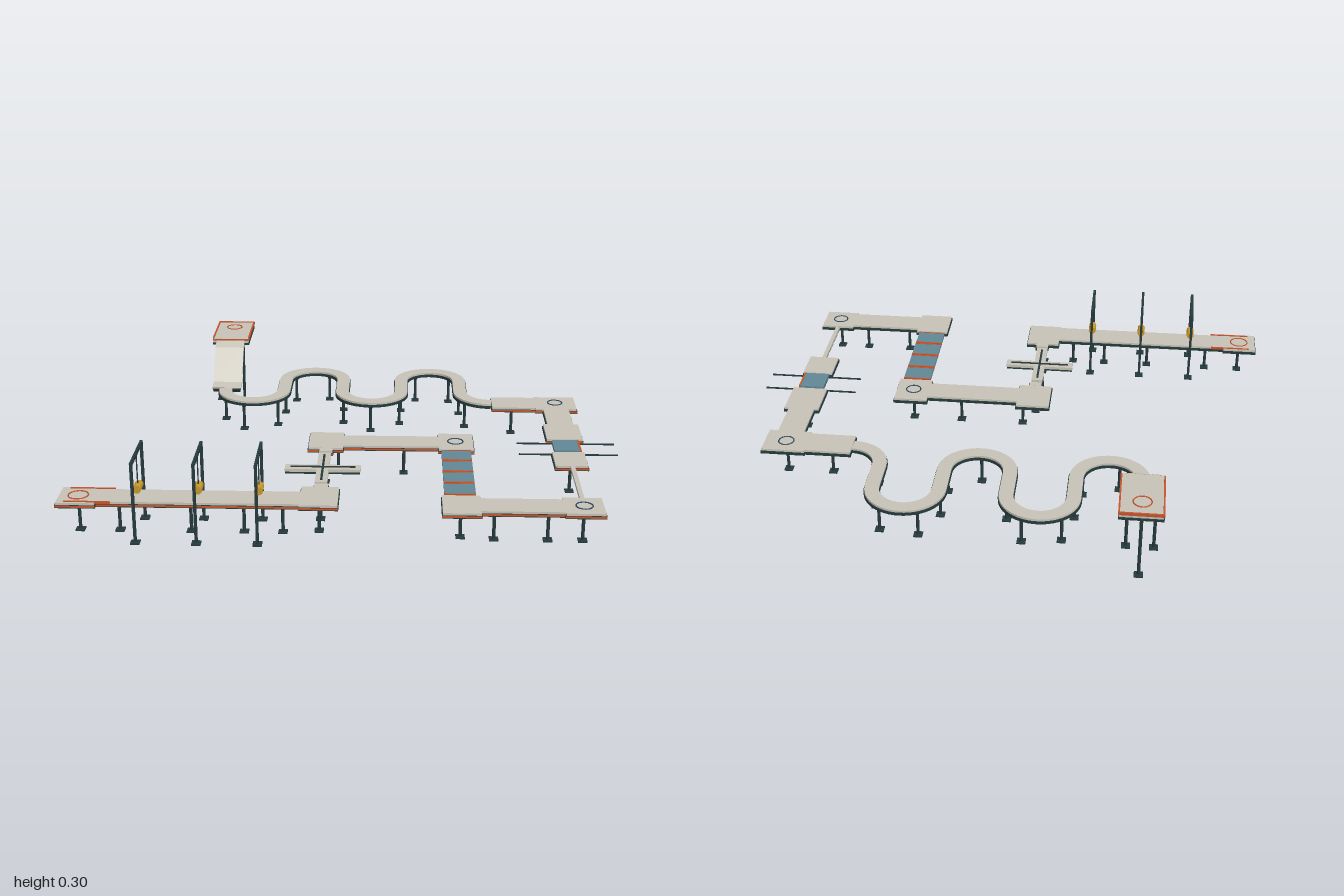
import * as THREE from 'three';

const mat = (name, color) => {
  const m = new THREE.MeshStandardMaterial({ color });
  m.name = name;
  return m;
};

export function createModel() {
  const model = new THREE.Group();
  model.name = 'obstacleCourse';
  const stone = mat('stone', 0xc6c2b6);
  const dark = mat('darkSteel', 0x263a3c);
  const orange = mat('orangePaint', 0xc4552c);
  const blue = mat('blueTile', 0x628796);
  const yellow = mat('yellow', 0xc8982a);
  const navy = mat('navyRing', 0x2f4a63);

  const add = (name, geo, material, x = 0, y = 0, z = 0) => {
    const m = new THREE.Mesh(geo, material);
    m.name = name;
    m.position.set(x, y, z);
    model.add(m);
    return m;
  };
  // Box given by its limits
  const block = (name, material, x0, x1, y0, y1, z0, z1) =>
    add(name, new THREE.BoxGeometry(x1 - x0, y1 - y0, z1 - z0), material,
      (x0 + x1) / 2, (y0 + y1) / 2, (z0 + z1) / 2);

  // Deck: pale slab on a dark frame, with a painted front edge
  const deck = (name, x0, x1, z0, z1) => {
    block(name, stone, x0 + 0.003, x1 - 0.003, 0.121, 0.131, z0 + 0.003, z1 - 0.003);
    block(name + 'Frame', dark, x0, x1, 0.112, 0.123, z0, z1);
    block(name + 'Stripe', orange, x0, x1, 0.115, 0.122, z1 - 0.001, z1 + 0.001);
  };
  // Support leg with foot and flared head
  const poleGeo = new THREE.CylinderGeometry(0.006, 0.006, 1, 8);
  const headGeo = new THREE.CylinderGeometry(0.017, 0.007, 0.016, 8);
  const footGeo = new THREE.BoxGeometry(0.032, 0.005, 0.032);
  const leg = (x, z, h = 0.113) => {
    add('legPole', poleGeo, dark, x, h / 2, z).scale.y = h;
    add('legHead', headGeo, dark, x, h - 0.008, z);
    add('legFoot', footGeo, dark, x, 0.0025, z);
  };
  const ring = (name, material, x, y, z, r) => {
    const g = new THREE.TorusGeometry(r, 0.0025, 6, 32).rotateX(Math.PI / 2);
    add(name, g, material, x, y, z);
  };

  // Straight decks and corner platforms
  deck('startBeam', -1, -0.1, 0.657, 0.77);
  deck('startPlatform', -1, -0.86, 0.645, 0.785);
  deck('turnPlatform', -0.163, -0.025, 0.613, 0.778);
  deck('turnStub', -0.12, -0.065, 0.585, 0.62);
  deck('middleStub', -0.12, -0.065, 0.25, 0.285);
  deck('middlePlatform', -0.163, -0.027, 0.09, 0.255);
  deck('middleBeam', -0.1, 0.36, 0.12, 0.23);
  deck('middleCorner', 0.328, 0.465, 0.09, 0.255);
  deck('frontPlatform', 0.328, 0.465, 0.67, 0.825);
  deck('frontBeam', 0.4, 0.77, 0.692, 0.805);
  deck('frontCorner', 0.745, 0.885, 0.677, 0.815);
  deck('railLanding', 0.75, 0.875, 0.26, 0.4);
  deck('gapPlatform', 0.743, 0.885, -0.025, 0.14);
  deck('sideBeam', 0.76, 0.867, -0.2, 0);
  deck('backCorner', 0.73, 0.9, -0.333, -0.19);
  deck('backBeam', 0.555, 0.75, -0.325, -0.2);

  // Painted start edges
  for (const z of [0.656, 0.771]) block('startEdge', orange, -0.97, -0.81, 0.125, 0.134, z - 0.003, z + 0.003);
  ring('startRing', orange, -0.93, 0.132, 0.715, 0.035);
  ring('checkpointRing', navy, 0.395, 0.132, 0.173, 0.029);
  ring('checkpointRing', navy, 0.815, 0.132, 0.748, 0.029);
  ring('checkpointRing', navy, 0.815, 0.132, -0.265, 0.029);

  // Hanging hammers on portal frames
  for (const x of [-0.72, -0.51, -0.3]) {
    for (const z of [0.615, 0.817]) {
      block('framePost', dark, x - 0.005, x + 0.005, 0, 0.295, z - 0.005, z + 0.005);
      block('frameFoot', dark, x - 0.016, x + 0.016, 0, 0.006, z - 0.016, z + 0.016);
    }
    block('frameBar', dark, x - 0.005, x + 0.005, 0.287, 0.297, 0.61, 0.822);
    block('hammerRod', dark, x - 0.002, x + 0.002, 0.17, 0.29, 0.714, 0.718);
    add('hammer', new THREE.CylinderGeometry(0.015, 0.015, 0.052, 16).rotateX(Math.PI / 2),
      yellow, x, 0.166, 0.716);
  }

  // Turning cross
  const cx = -0.095, cz = 0.437;
  for (const [a, b] of [[0.138, 0.0225], [0.0225, 0.138]]) {
    block('crossArm', stone, cx - a, cx + a, 0.12, 0.131, cz - b, cz + b);
    block('crossArmBase', dark, cx - a + 0.002, cx + a - 0.002, 0.112, 0.121, cz - b + 0.002, cz + b - 0.002);
    const p = a > b ? 0.118 : 0.004, q = a > b ? 0.004 : 0.118;
    block('crossLine', dark, cx - p, cx + p, 0.13, 0.134, cz - q, cz + q);
  }
  add('crossPillar', new THREE.CylinderGeometry(0.016, 0.02, 0.113, 12), dark, cx, 0.0565, cz);
  add('crossFoot', new THREE.CylinderGeometry(0.032, 0.032, 0.006, 12), dark, cx, 0.003, cz);

  // Blue tilting tiles
  for (let i = 0; i < 4; i++) {
    const z0 = 0.26 + i * 0.103, z1 = z0 + 0.096;
    block('tile', blue, 0.34, 0.45, 0.12, 0.131, z0 + 0.004, z1 - 0.004);
    block('tileBase', dark, 0.342, 0.448, 0.113, 0.12, z0 + 0.004, z1 - 0.004);
    for (const z of [z0, z1 - 0.006]) block('tileEdge', orange, 0.34, 0.45, 0.12, 0.132, z, z + 0.006);
  }

  // Sliding tile on two cables
  block('slidingTile', blue, 0.763, 0.857, 0.12, 0.133, 0.147, 0.255);
  block('slidingTileBase', dark, 0.765, 0.857, 0.112, 0.12, 0.149, 0.253);
  block('slidingTileEdge', orange, 0.857, 0.864, 0.118, 0.134, 0.147, 0.255);
  for (const z of [0.147, 0.255]) block('cable', dark, 0.63, 1, 0.114, 0.119, z - 0.0025, z + 0.0025);

  // Narrow balance rail
  block('balanceRail', stone, 0.807, 0.823, 0.118, 0.13, 0.395, 0.68);
  block('balanceRailBase', dark, 0.809, 0.821, 0.112, 0.118, 0.395, 0.68);

  // Winding path, swept from a centre line of arcs
  const line = new THREE.Path();
  const r = 0.1225;
  line.absarc(0.5555, 0.3875, r, -Math.PI / 2, -Math.PI, true);
  for (let i = 0; i < 4; i++) {
    const top = i % 2 === 0;
    line.absarc(0.3105 - i * 2 * r, top ? 0.527 : 0.3875, r, 0, top ? Math.PI : -Math.PI, !top);
  }
  line.lineTo(-0.547, 0.415);
  const centre = line.getSpacedPoints(150);
  const ribbon = (name, material, half, y0, y1) => {
    const side = s => centre.map((p, i) => {
      const a = centre[Math.max(i - 1, 0)], b = centre[Math.min(i + 1, centre.length - 1)];
      const t = b.clone().sub(a).normalize();
      return new THREE.Vector2(p.x - t.y * half * s, p.y + t.x * half * s);
    });
    const shape = new THREE.Shape([...side(1), ...side(-1).reverse()]);
    const g = new THREE.ExtrudeGeometry(shape, { depth: y1 - y0, bevelEnabled: false });
    add(name, g.rotateX(-Math.PI / 2), material, 0, y0, 0);
  };
  ribbon('windingPath', stone, 0.0265, 0.12, 0.131);
  ribbon('windingPathFrame', dark, 0.0295, 0.112, 0.123);
  for (let i = 8; i < 150; i += 10) leg(centre[i].x, -centre[i].y);

  // Ramp up to the finish
  const slope = [[0.4, 0.132], [0.45, 0.141], [0.545, 0.262], [0.6, 0.288]];
  const ramp = (name, material, x0, x1, top, bottom) => {
    const pts = [...slope.map(([u, y]) => [u, y - top]), ...slope.map(([u, y]) => [u + 0.006, y - bottom]).reverse()];
    const shape = new THREE.Shape(pts.map(([u, y]) => new THREE.Vector2(u, y)));
    const g = new THREE.ExtrudeGeometry(shape, { depth: x1 - x0, bevelEnabled: false });
    add(name, g.rotateY(Math.PI / 2), material, x0);
  };
  ramp('ramp', stone, -0.605, -0.485, 0, 0.009);
  ramp('rampFrame', dark, -0.602, -0.488, 0.008, 0.02);

  // Raised finish platform
  block('finishPlatform', stone, -0.618, -0.469, 0.27, 0.288, -0.827, -0.587);
  block('finishFrame', dark, -0.621, -0.466, 0.262, 0.271, -0.83, -0.585);
  for (const x of [-0.619, -0.468]) block('finishEdge', orange, x - 0.003, x + 0.003, 0.281, 0.292, -0.83, -0.595);
  block('finishBackEdge', orange, -0.622, -0.465, 0.281, 0.292, -0.831, -0.825);
  block('finishFrontEdge', orange, -0.62, -0.467, 0.28, 0.287, -0.588, -0.585);
  ring('finishRing', orange, -0.545, 0.289, -0.755, 0.032);
  leg(-0.545, -0.785, 0.263);
  leg(-0.595, -0.622, 0.263);
  leg(-0.495, -0.622, 0.263);

  // Legs under the straight decks
  const feet = [[-0.93, 0.715], [-0.79, 0.715], [-0.54, 0.715], [-0.355, 0.715], [-0.22, 0.715], [-0.095, 0.7],
    [-0.095, 0.605], [-0.095, 0.272], [-0.05, 0.175], [0.2, 0.175], [0.395, 0.175], [0.395, 0.31], [0.395, 0.52],
    [0.395, 0.735], [0.51, 0.75], [0.695, 0.75], [0.815, 0.75], [0.815, 0.33], [0.815, 0.06], [0.815, -0.105],
    [0.815, -0.26], [0.64, -0.26]];
  feet.forEach(([x, z]) => leg(x, z));

  return model;
}
